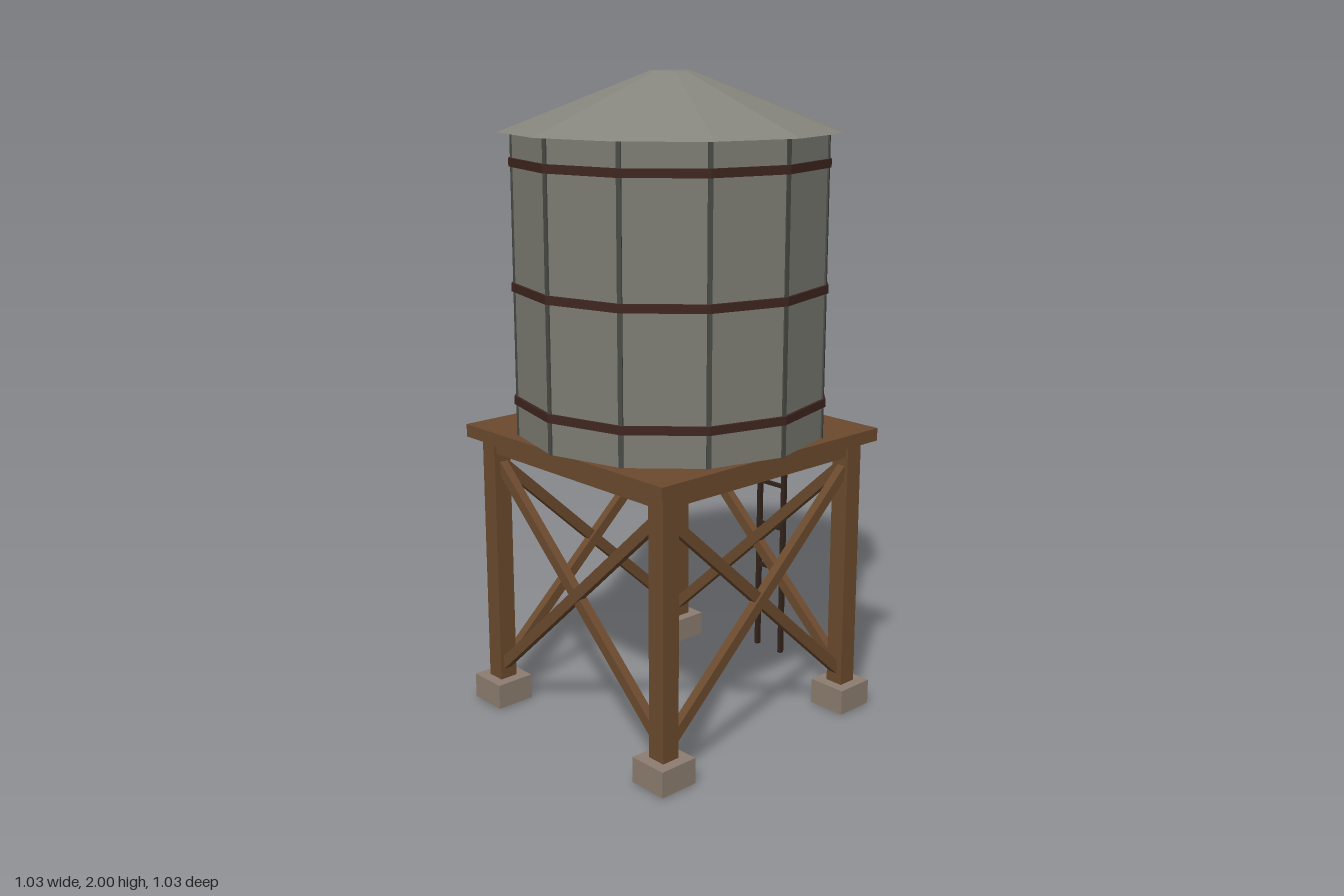
import * as THREE from 'three';

const mat = (color) => new THREE.MeshStandardMaterial({ color, flatShading: true });
const wood = mat(0x6b4a2e), concrete = mat(0x8c7d70), panel = mat(0x7d7d74);
const roofing = mat(0x85857d), seamMetal = mat(0x484a45), rust = mat(0x3f2620), iron = mat(0x33231b);
const SIDES = 12;

function add(parent, name, geometry, material, x = 0, y = 0, z = 0) {
  const mesh = new THREE.Mesh(geometry, material);
  mesh.name = name;
  mesh.position.set(x, y, z);
  parent.add(mesh);
  return mesh;
}

const box = (w, h, d) => new THREE.BoxGeometry(w, h, d);

function createTower() {
  const tower = new THREE.Group();
  tower.name = 'tower';
  const c = 0.385;

  // Legs on concrete footings
  for (const sx of [-1, 1]) for (const sz of [-1, 1]) {
    add(tower, 'leg', box(0.06, 0.885, 0.06), wood, sx * c, 0.4425, sz * c);
    add(tower, 'footing', box(0.128, 0.08, 0.128), concrete, sx * c, 0.045, sz * c);
  }

  // Each side has an edge beam and a pair of crossed braces
  for (let i = 0; i < 4; i++) {
    const side = new THREE.Group();
    side.name = 'sideFrame';
    side.rotation.y = i * Math.PI / 2;
    add(side, 'edgeBeam', box(2 * c, 0.045, 0.045), wood, 0, 0.8625, c);
    const dx = 0.74, dy = 0.675;
    for (const s of [-1, 1]) {
      const brace = add(side, 'brace', box(Math.hypot(dx, dy), 0.034, 0.028), wood, 0, 0.465, c + s * 0.004);
      brace.rotation.z = s * Math.atan2(dy, dx);
    }
    tower.add(side);
  }

  add(tower, 'deck', box(0.9, 0.04, 0.9), wood, 0, 0.905, 0);
  return tower;
}

function createTank() {
  const tank = new THREE.Group();
  tank.name = 'tank';
  const r = 0.473, bottom = 0.925, top = 1.83, h = top - bottom, mid = (top + bottom) / 2;
  add(tank, 'tankWall', new THREE.CylinderGeometry(r, r, h, SIDES), panel, 0, mid, 0);

  // Vertical seam strips on the corners
  for (let i = 0; i < SIDES; i++) {
    const a = i * 2 * Math.PI / SIDES;
    const seam = add(tank, 'seam', box(0.014, h, 0.012), seamMetal, Math.sin(a) * (r - 0.003), mid, Math.cos(a) * (r - 0.003));
    seam.rotation.y = a;
  }

  // Rusty hoops
  for (const y of [1.035, 1.378, 1.743]) {
    add(tank, 'hoop', new THREE.CylinderGeometry(0.482, 0.482, 0.025, SIDES), rust, 0, y, 0);
  }

  // Shallow roof with a small flat cap
  add(tank, 'roof', new THREE.CylinderGeometry(0.06, 0.513, 0.172, SIDES), roofing, 0, 1.914, 0);
  return tank;
}

function createLadder() {
  const ladder = new THREE.Group();
  ladder.name = 'ladder';
  const y0 = 0.05, y1 = 1.83, mid = (y0 + y1) / 2;
  for (const s of [-1, 1]) add(ladder, 'rail', box(0.015, y1 - y0, 0.014), iron, 0, 0, s * 0.054);
  for (let i = 0; i < 11; i++) {
    add(ladder, 'rung', box(0.012, 0.012, 0.108), iron, 0, 0.196 + i * 0.1483 - mid, 0);
  }
  // Slight lean following the tank wall
  ladder.position.set(0.464, mid, 0);
  ladder.rotation.z = -0.004;
  return ladder;
}

export function createModel() {
  const model = new THREE.Group();
  model.name = 'waterTower';
  model.add(createTower(), createTank(), createLadder());
  return model;
}
